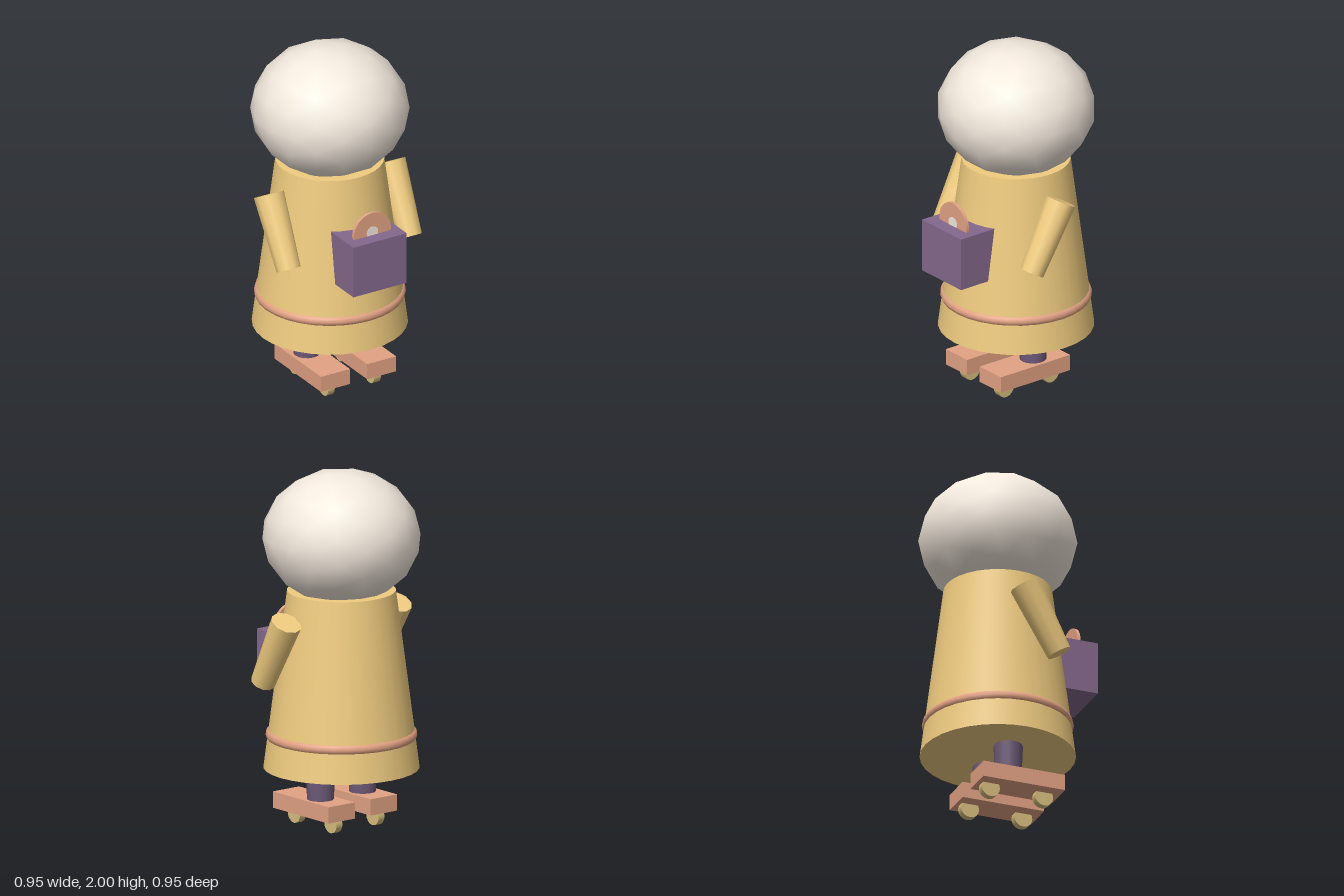
import * as THREE from 'three';

const paint = (color) => new THREE.MeshStandardMaterial({ color });
const cream = paint(0xf3e9dd);
const yellow = paint(0xf0cc80);
const purple = paint(0x84688c);
const darkPurple = paint(0x6d5a78);
const coral = paint(0xe2a283);
const brass = paint(0xd6bd7c);

const AXIS_Z = -0.045; // body, head and legs share this axis

export function createModel() {
  const model = new THREE.Group();
  model.name = 'figure';

  function add(name, geometry, material, x, y, z) {
    const mesh = new THREE.Mesh(geometry, material);
    mesh.name = name;
    mesh.position.set(x, y, z);
    model.add(mesh);
    return mesh;
  }

  // Head: slightly flattened faceted ball
  add('head', new THREE.IcosahedronGeometry(0.438, 2), cream, 0, 1.633, AXIS_Z).scale.y = 0.855;

  // Flared robe with a band near the hem
  add('robe', new THREE.CylinderGeometry(0.3, 0.43, 1, 32), yellow, 0, 0.83, AXIS_Z);
  add('hemBand', new THREE.TorusGeometry(0.385, 0.033, 10, 32), coral, 0, 0.518, AXIS_Z)
    .rotation.x = Math.PI / 2;

  // Box held in front, with a disc standing half out of it
  add('box', new THREE.BoxGeometry(0.344, 0.304, 0.28), purple, 0, 0.887, 0.339);
  add('disc', new THREE.CylinderGeometry(0.12, 0.12, 0.018, 28), coral, 0, 1.055, 0.39)
    .rotation.x = Math.PI / 2;
  add('discCentre', new THREE.CylinderGeometry(0.037, 0.037, 0.021, 16), cream, 0, 1.055, 0.39)
    .rotation.x = Math.PI / 2;

  for (const side of [1, -1]) {
    const label = side > 0 ? 'left' : 'right';

    // Sleeve slanting down and forward
    add(label + 'Arm', new THREE.CylinderGeometry(0.087, 0.069, 0.427, 10), yellow, side * 0.392, 1.015, 0.055)
      .rotation.x = -0.5;

    // Leg, skate plate and two wheels
    const x = side * 0.149;
    add(label + 'Leg', new THREE.CylinderGeometry(0.082, 0.074, 0.19, 16), darkPurple, x, 0.255, AXIS_Z);
    add(label + 'Skate', new THREE.BoxGeometry(0.187, 0.092, 0.485), coral, x, 0.125, 0.012);
    for (const [end, z] of [['Front', 0.16], ['Rear', -0.157]]) {
      add(label + end + 'Wheel', new THREE.CylinderGeometry(0.054, 0.054, 0.042, 16), brass, x, 0.054, z)
        .rotation.z = Math.PI / 2;
    }
  }
  return model;
}
